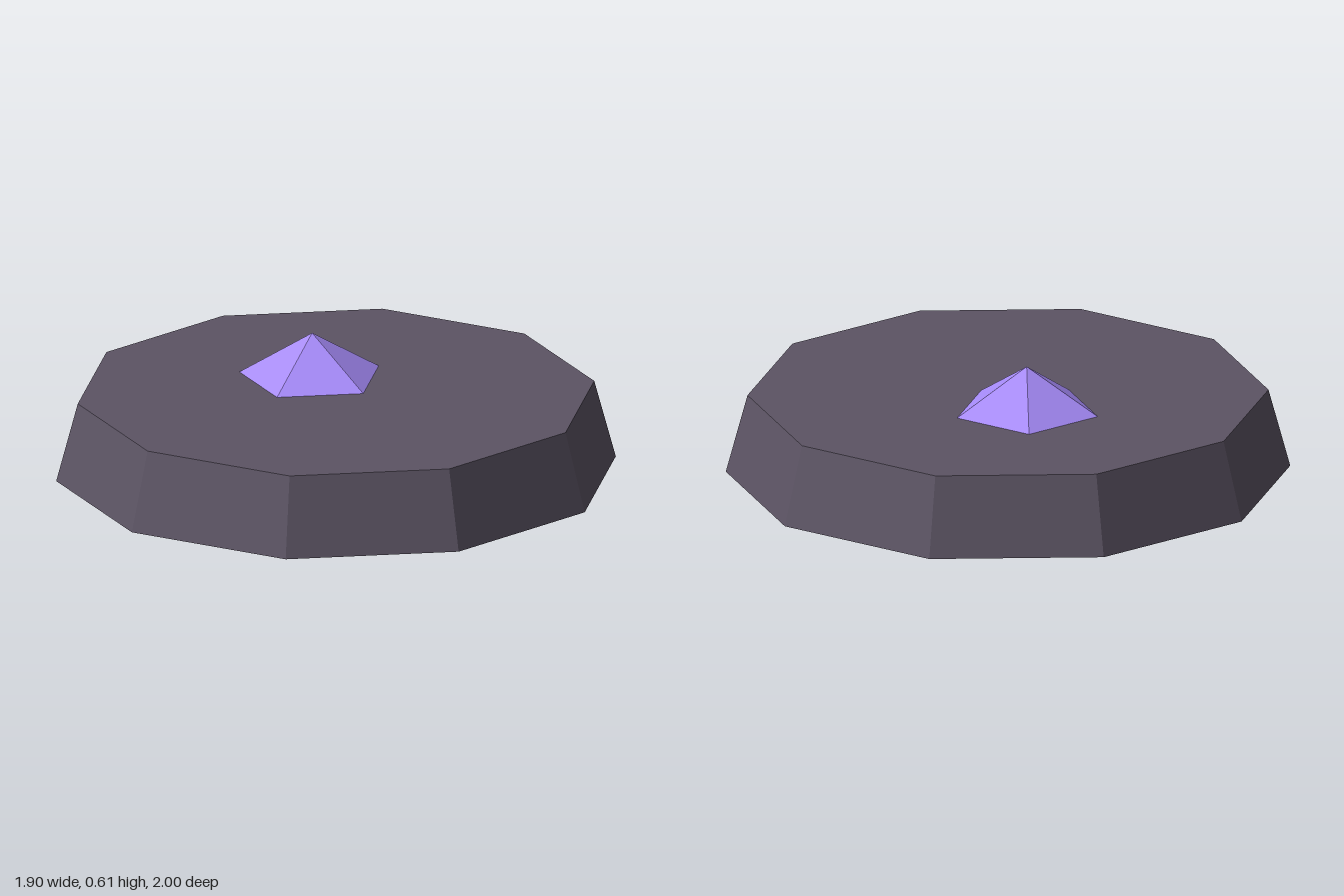
import * as THREE from 'three';

export function createModel() {
  const model = new THREE.Group();
  const midY = 0.305;

  function addPart(name, geometry, color, z) {
    const material = new THREE.MeshStandardMaterial({ flatShading: true });
    material.color.set(color);
    const mesh = new THREE.Mesh(geometry, material);
    mesh.name = name;
    mesh.position.set(0, midY, z);
    model.add(mesh);
  }

  // Ten-sided tapered slab, corners pointing along z
  addPart('stoneSlab', new THREE.CylinderGeometry(0.923, 1, 0.286, 10), 0x5c5464, 0);

  // Gem set through the slab, tipped so one corner points straight up
  const gem = new THREE.IcosahedronGeometry(midY, 0);
  gem.rotateZ(-Math.atan(2 / (1 + Math.sqrt(5))));
  addPart('gem', gem, 0xa78bfa, -0.195);

  return model;
}
